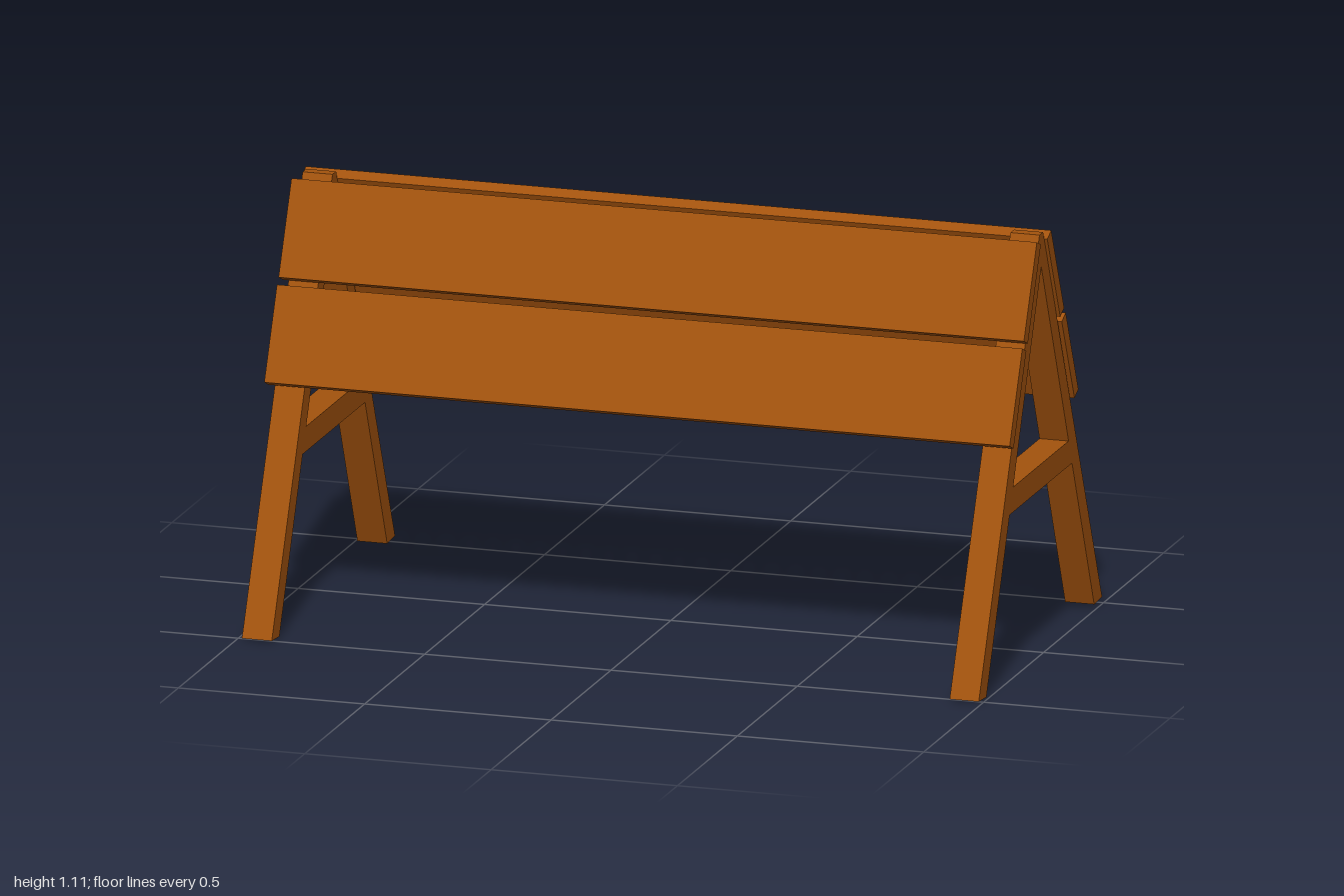
import * as THREE from 'three';

const wood = new THREE.MeshStandardMaterial({ color: 0xa3530d, flatShading: true });

// Board with a side outline given as [z, y] points, running from x0 to x1.
function board(name, outline, x0, x1) {
  const shape = new THREE.Shape(outline.map(([z, y]) => new THREE.Vector2(z, y)));
  const geometry = new THREE.ExtrudeGeometry(shape, { depth: x1 - x0, bevelEnabled: false });
  geometry.rotateY(-Math.PI / 2).translate(x1, 0, 0);
  const mesh = new THREE.Mesh(geometry, wood);
  mesh.name = name;
  return mesh;
}

export function createModel() {
  const model = new THREE.Group();
  model.name = 'aFrameBarricade';

  // Legs mitred together at the apex, with a cross brace between them
  const frontLeg = [[0.516, 0.005], [0.452, 0], [-0.006, 1.02], [-0.006, 1.108], [0.009, 1.108]];
  const backLeg = [[-0.513, 0.012], [-0.447, 0.009], [-0.006, 1.02], [-0.006, 1.108], [-0.021, 1.108]];
  const brace = [[0.26, 0.432], [0.229, 0.498], [-0.235, 0.498], [-0.265, 0.432]];

  for (const [side, x0, x1] of [['right', -0.985, -0.905], ['left', 0.914, 0.992]]) {
    const frame = new THREE.Group();
    frame.name = side + 'Frame';
    frame.add(
      board(side + 'FrontLeg', frontLeg, x0, x1),
      board(side + 'BackLeg', backLeg, x0, x1),
      board(side + 'Brace', brace, x0, x1)
    );
    model.add(frame);
  }

  // Sloping planks, mirrored front to back about the ridge
  const planks = {
    UpperPlank: [[0.056, 1.102], [0.023, 1.087], [0.131, 0.853], [0.164, 0.868]],
    LowerPlank: [[0.177, 0.852], [0.144, 0.837], [0.25, 0.606], [0.283, 0.621]],
  };
  const ridge = -0.004;
  for (const [name, outline] of Object.entries(planks)) {
    model.add(board('front' + name, outline, -1, 1));
    model.add(board('back' + name, outline.map(([z, y]) => [2 * ridge - z, y]), -1, 1));
  }
  return model;
}
